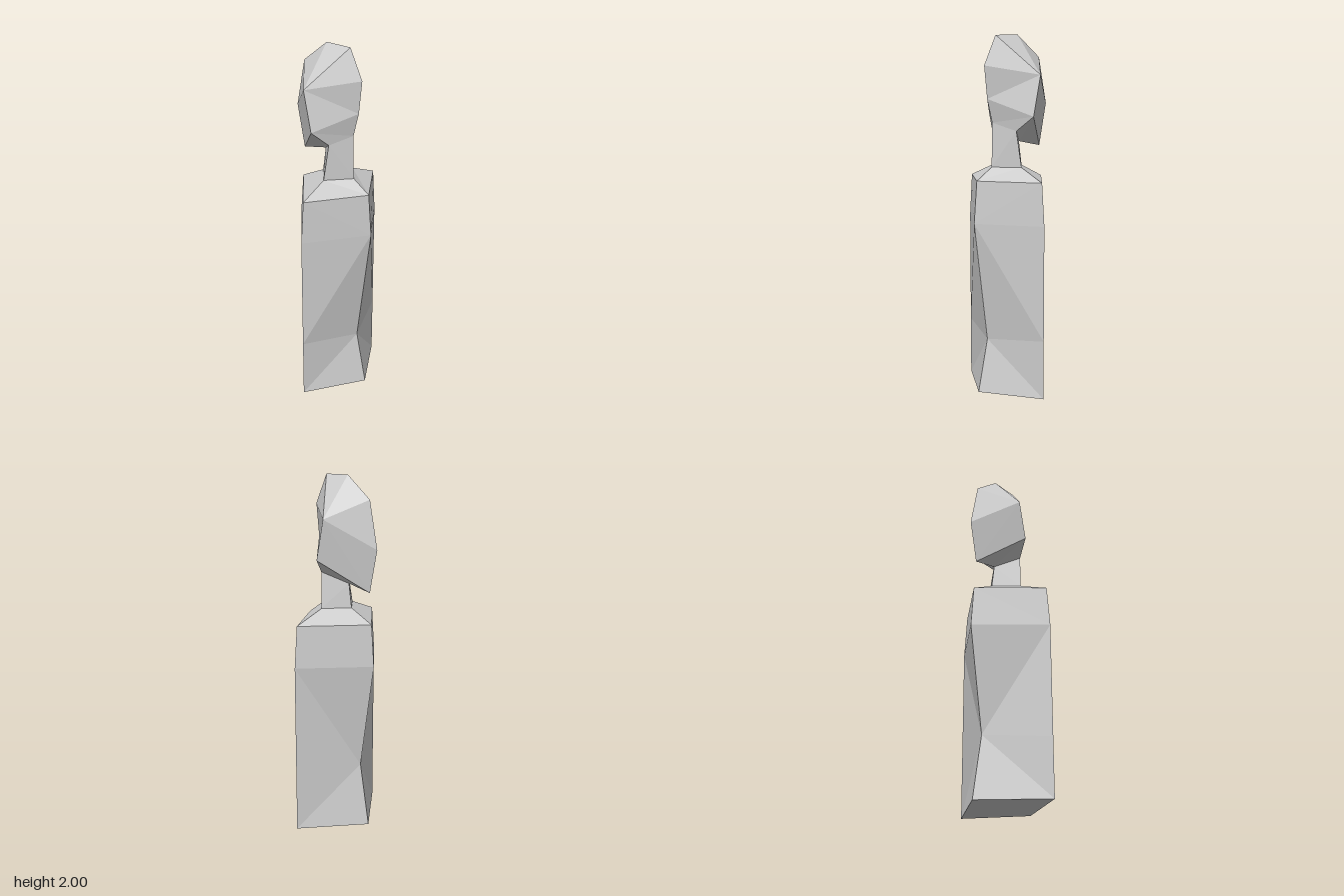
import * as THREE from 'three';

// Each four-sided section: front [y, z], side [x, y, z], back [y, z].
const sections = [
  { front: [0, 0.24], side: [0.325, 0, 0.04], back: [0, -0.22] },            // base
  { front: [0.30, 0.175], side: [0.325, 0.33, 0.04], back: [0.36, -0.155] }, // waist
  { front: [0.97, 0.265], side: [0.325, 0.97, 0.04], back: [0.97, -0.25] },  // chest
  { front: [1.205, 0.245], side: [0.305, 1.205, 0.04], back: [1.205, -0.23] }, // shoulders
  { front: [1.275, 0.14], side: [0.125, 1.275, 0.03], back: [1.275, -0.08] },  // neck base
  { front: [1.52, 0.135], side: [0.105, 1.475, 0.05], back: [1.41, -0.06] },   // neck top
  { front: [1.65, 0.17], side: [0.19, 1.555, 0], back: [1.38, -0.215] },       // jaw
  { front: [1.83, 0.19], side: [0.19, 1.78, -0.05], back: [1.62, -0.265] },    // brow
  { front: [1.995, 0.11], side: [0, 2, -0.05], back: [1.88, -0.21] },          // crown ridge
];

// Bands whose quads fold along the falling diagonal (lower second corner to upper first).
const frontFlip = [0, 1, 7];
const backFlip = [1, 5, 6];

const corners = ({ front, side, back }) => [[0, ...front], side, [0, ...back]];

function buildPart(name, first, last, closeBottom = false) {
  const positions = [];
  // Add a triangle and its mirror image
  const tri = (a, b, c) => {
    positions.push(...a, ...b, ...c);
    for (const [x, y, z] of [a, c, b]) positions.push(-x, y, z);
  };
  const quad = (a, b, c, d, flip) => {
    if (flip) { tri(a, b, d); tri(b, c, d); }
    else { tri(a, b, c); tri(a, c, d); }
  };
  for (let i = first; i < last; i++) {
    const [f0, s0, b0] = corners(sections[i]);
    const [f1, s1, b1] = corners(sections[i + 1]);
    quad(f0, s0, s1, f1, frontFlip.includes(i));
    quad(s0, b0, b1, s1, backFlip.includes(i));
  }
  if (closeBottom) {
    const [f, s, b] = corners(sections[first]);
    tri(f, b, s);
  }
  const geometry = new THREE.BufferGeometry();
  geometry.setAttribute('position', new THREE.Float32BufferAttribute(positions, 3));
  geometry.computeVertexNormals();
  const mesh = new THREE.Mesh(
    geometry,
    new THREE.MeshStandardMaterial({ color: 0xcccccc, flatShading: true })
  );
  mesh.name = name;
  return mesh;
}

export function createModel() {
  const group = new THREE.Group();
  group.name = 'bust';
  group.add(
    buildPart('body', 0, 4, true),
    buildPart('neck', 4, 5),
    buildPart('head', 5, 8)
  );
  return group;
}
